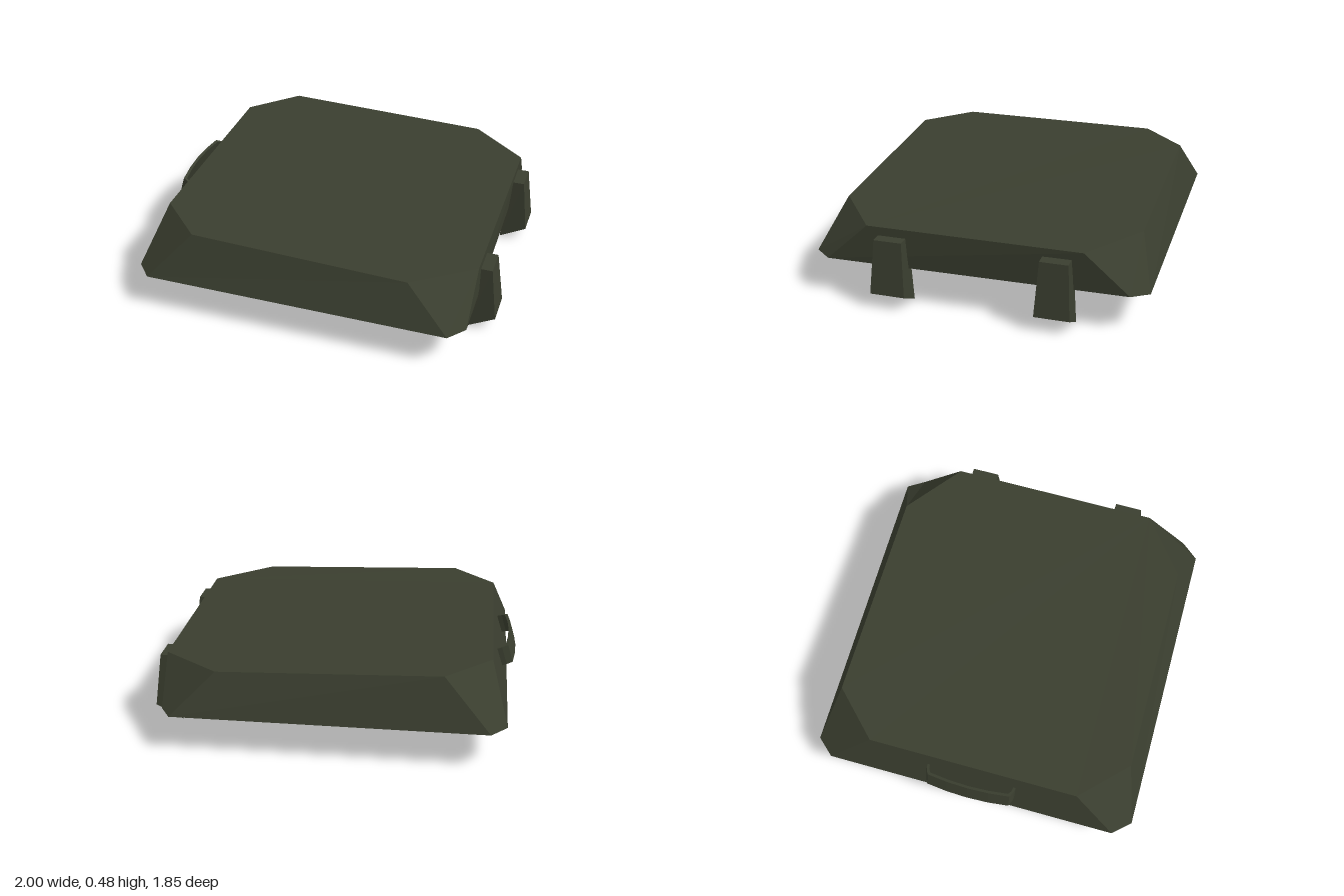
import * as THREE from 'three';

const olive = new THREE.MeshStandardMaterial({ color: 0x3a3e2f, flatShading: true });
olive.name = 'dark olive paint';

// Walls between two matching rings of points, with an optional cap on each end
function loft(lower, upper, { inward = false, base = false } = {}) {
  const pos = [];
  const tri = (a, b, c) => pos.push(...a, ...(inward ? c : b), ...(inward ? b : c));
  const n = lower.length;
  for (let i = 0; i < n; i++) {
    const j = (i + 1) % n;
    tri(lower[i], lower[j], upper[j]);
    tri(lower[i], upper[j], upper[i]);
  }
  for (let i = 1; i < n - 1; i++) {
    tri(upper[0], upper[i], upper[i + 1]);
    if (base) tri(lower[0], lower[i + 1], lower[i]);
  }
  const geo = new THREE.BufferGeometry();
  geo.setAttribute('position', new THREE.Float32BufferAttribute(pos, 3));
  geo.computeVertexNormals();
  return geo;
}

function add(group, name, geo) {
  const mesh = new THREE.Mesh(geo, olive);
  mesh.name = name;
  group.add(mesh);
  return mesh;
}

// Height of the gently sloping lid top
const topY = (x) => Math.min(0.48, 0.459 - 0.034 * x);

export function createModel() {
  const model = new THREE.Group();
  model.name = 'hatch';

  // Eight-sided rings, counterclockwise from above
  const rim = [[0.9, 0.83], [0.88, -0.83], [0.82, -0.925], [-0.87, -0.925],
    [-0.955, -0.83], [-0.955, 0.83], [-0.87, 0.925], [0.82, 0.925]]
    .map(([x, z]) => [x, 0.205, z]);
  const crown = [[0.9, 0.59], [0.9, -0.59], [0.58, -0.835], [-0.62, -0.835],
    [-0.865, -0.59], [-0.865, 0.59], [-0.62, 0.835], [0.58, 0.835]]
    .map(([x, z]) => [x, topY(x), z]);
  // Inner ceiling: narrower front to back, just under the lid top
  const ceiling = crown.map(([x, y, z]) => (Math.abs(z) > 0.7
    ? [x + (x > 0 ? 0.04 : -0.04), y - 0.008, Math.sign(z) * 0.775]
    : [x * 0.997, y - 0.008, z]));

  add(model, 'lid', loft(rim, crown));
  add(model, 'lidLining', loft(rim, ceiling, { inward: true }));

  // Two tapered hinge arms on the left edge
  const slice = (x0, y0, x1, y1, half) =>
    [[x0, y0, half], [x1, y1, half], [x1, y1, -half], [x0, y0, -half]];
  for (const z of [-0.45, 0.45]) {
    const geo = loft(slice(0.85, 0, 1, 0.08, 0.096), slice(0.86, 0.38, 0.962, 0.38, 0.077), { base: true });
    add(model, z > 0 ? 'frontHinge' : 'backHinge', geo).position.z = z;
  }

  // Bowed strap handle; profile is (distance from wall, z)
  const outer = [[-0.03, -0.26], [0.035, -0.25], [0.07, -0.235], [0.084, -0.12], [0.089, 0],
    [0.084, 0.12], [0.07, 0.235], [0.035, 0.25], [-0.03, 0.26]];
  const inner = outer.map(([d, z], i) =>
    (i < 2 || i > 6 ? [d, z - Math.sign(z) * 0.014] : [d - 0.015, z * 0.95])).reverse();
  const shape = new THREE.Shape([...outer, ...inner].map(([d, z]) => new THREE.Vector2(d, z)));
  const strap = new THREE.ExtrudeGeometry(shape, { depth: 0.105, bevelEnabled: false });
  strap.applyMatrix4(new THREE.Matrix4().makeBasis(
    new THREE.Vector3(-0.957, 0.29, 0),
    new THREE.Vector3(0, 0, 1),
    new THREE.Vector3(0.29, 0.957, 0)).setPosition(-0.915, 0.295, 0));
  add(model, 'handle', strap);

  return model;
}
